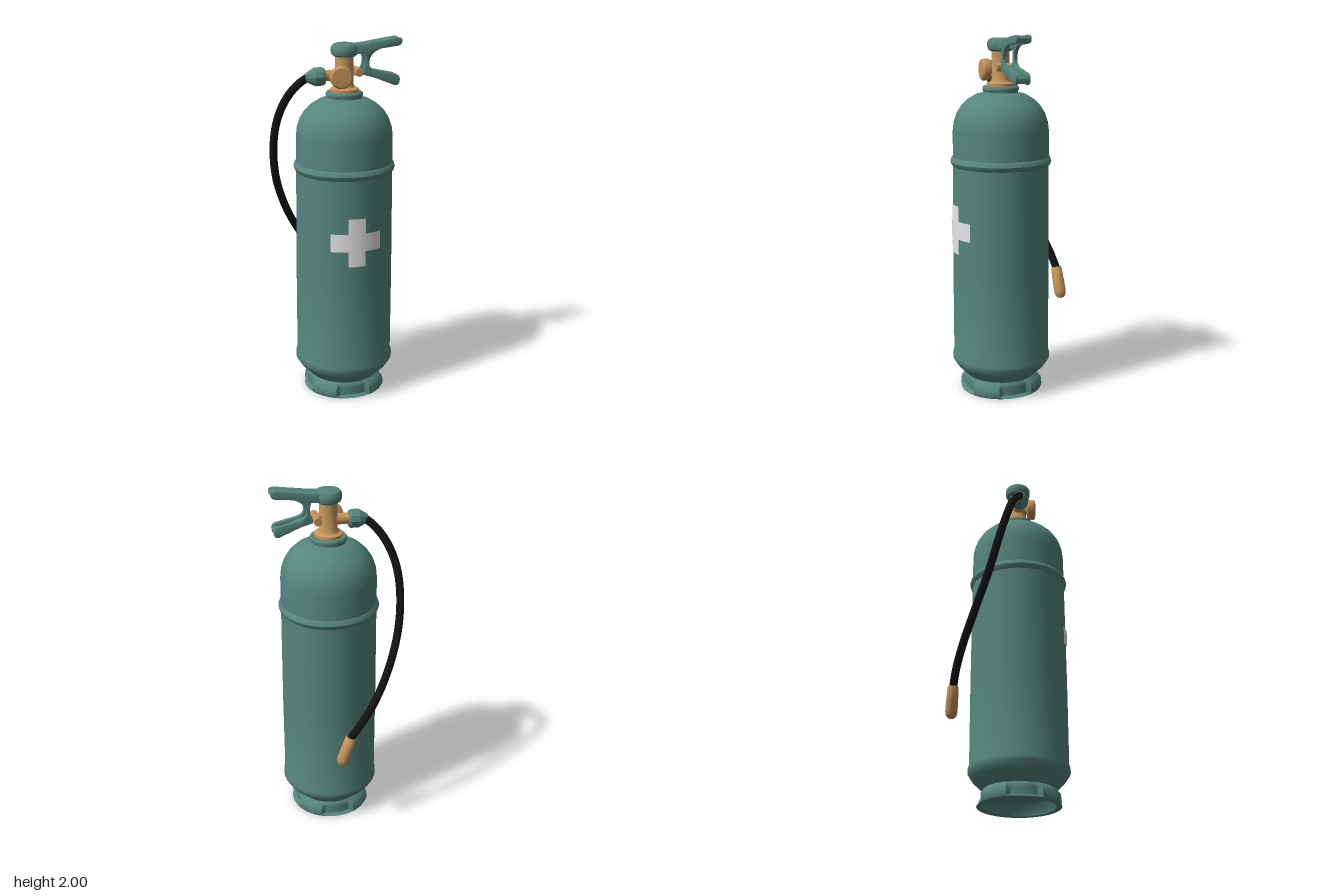
import * as THREE from 'three';
import { toCreasedNormals, mergeGeometries } from 'three/addons/utils/BufferGeometryUtils.js';

const CX = 0.034, CZ = 0.06; // axis of the cylinder

export function createModel() {
  const root = new THREE.Group();
  root.name = 'fireExtinguisher';
  const mat = (name, color) => new THREE.MeshStandardMaterial({ name, color });
  const green = mat('green paint', 0x55857c);
  const brass = mat('brass', 0xc4945a);
  const black = mat('black rubber', 0x121212);
  const white = mat('white', 0xf0f0f0);

  const add = (name, geo, material, x = 0, y = 0, z = 0, parent = root) => {
    const m = new THREE.Mesh(geo, material);
    m.name = name;
    m.position.set(x, y, z);
    parent.add(m);
    return m;
  };
  const lathe = (pts, seg = 40) => new THREE.LatheGeometry(pts.map(p => new THREE.Vector2(p[0], p[1])), seg);
  const crease = (geo, a = 0.6) => toCreasedNormals(geo, a);
  const UP = new THREE.Vector3(0, 1, 0);
  // turns a part built along +y so that it points along dir
  const aim = (mesh, x, y, z) => mesh.quaternion.setFromUnitVectors(UP, new THREE.Vector3(x, y, z).normalize());

  // Tank with rolled seam, dome and collar
  add('tank', crease(lathe([
    [0, 0.06], [0.17, 0.06], [0.195, 0.085], [0.21, 0.1], [0.25, 0.14], [0.275, 0.178],
    [0.275, 0.2], [0.268, 0.225], [0.268, 0.7], [0.264, 1.285], [0.273, 1.295], [0.278, 1.31],
    [0.273, 1.327], [0.264, 1.337], [0.263, 1.48], [0.258, 1.525], [0.243, 1.57], [0.218, 1.61],
    [0.18, 1.647], [0.135, 1.674], [0.095, 1.684], [0.095, 1.692], [0.1, 1.697], [0.1, 1.71],
    [0.094, 1.718], [0, 1.718],
  ])), green, CX, 0, CZ);

  // Flared foot ring with four recesses
  const foot = lathe([
    [0.15, 0.075], [0.185, 0.04], [0.195, 0], [0.226, 0], [0.232, 0.012],
    [0.228, 0.05], [0.215, 0.068], [0.19, 0.09],
  ], 72);
  const p = foot.attributes.position;
  for (let i = 0; i < p.count; i++) {
    const x = p.getX(i), z = p.getZ(i), r = Math.hypot(x, z), y = p.getY(i);
    const a = Math.atan2(z, x), off = Math.abs(a - Math.round(a / (Math.PI / 2)) * Math.PI / 2);
    if (off < 0.42 && r > 0.205 && y > 0.005) {
      const k = 0.205 / r;
      p.setX(i, x * k);
      p.setZ(i, z * k);
    }
  }
  add('footRing', crease(foot), green, CX, 0, CZ);

  // Cross emblem wrapped round the tank front
  const patch = (h, from, to) => new THREE.CylinderGeometry(0.274, 0.274, h, 10, 1, true, from, to - from);
  const cross = mergeGeometries([patch(0.27, -0.176, 0.176), patch(0.1, -0.53, -0.176), patch(0.1, 0.176, 0.53)]);
  add('crossEmblem', cross, white, CX, 0.945, CZ);

  // Valve post
  add('valvePost', crease(lathe([
    [0, 1.715], [0.078, 1.715], [0.078, 1.733], [0.058, 1.742], [0.049, 1.76], [0.049, 1.92], [0, 1.92],
  ], 24)), brass, CX, 0, CZ);

  // Pressure gauge, facing forward
  const gauge = add('pressureGauge', crease(lathe([
    [0, -0.07], [0.025, -0.07], [0.03, -0.02], [0.056, -0.015], [0.06, -0.008], [0.06, 0.022],
    [0.052, 0.031], [0, 0.034],
  ], 24)), brass, -0.003, 1.805, 0.128);
  aim(gauge, -0.12, 0, 1);

  // Hinge pin of the levers
  const pin = add('hingePin', crease(new THREE.CylinderGeometry(0.022, 0.022, 0.125, 16)), brass, 0.103, 1.822, 0.053);
  pin.rotation.x = Math.PI / 2;
  const bracket = add('hingeBracket', new THREE.BoxGeometry(0.06, 0.036, 0.05), brass, 0.085, 1.822, CZ);
  bracket.rotation.z = 0.1;

  // Hose outlet and coupling
  const outlet = add('hoseOutlet', crease(new THREE.CylinderGeometry(0.03, 0.03, 0.11, 16)), brass, -0.035, 1.805, 0.058);
  outlet.rotation.z = Math.PI / 2;
  const coupling = add('hoseCoupling', crease(lathe([
    [0, 0], [0.042, 0], [0.05, 0.012], [0.05, 0.055], [0.026, 0.098], [0.022, 0.105], [0, 0.105],
  ], 10), 0.45), green, -0.074, 1.803, 0.056);
  aim(coupling, -1, -0.06, -0.03);

  // Hose and nozzle
  const path = new THREE.CatmullRomCurve3([
    [-0.165, 1.797, 0.048], [-0.205, 1.765, 0.026], [-0.262, 1.69, -0.01], [-0.31, 1.57, -0.048],
    [-0.328, 1.42, -0.09], [-0.31, 1.22, -0.142], [-0.245, 1.02, -0.207], [-0.15, 0.84, -0.266],
    [-0.07, 0.73, -0.294], [0.0, 0.64, -0.306],
  ].map(v => new THREE.Vector3(...v)));
  add('hose', new THREE.TubeGeometry(path, 64, 0.022, 14), black);
  const nozzle = add('nozzle', crease(lathe([
    [0, 0], [0.026, 0], [0.031, 0.01], [0.033, 0.08], [0.034, 0.14], [0.03, 0.163], [0.018, 0.178], [0, 0.182],
  ], 18)), brass, -0.008, 0.652, -0.305);
  aim(nozzle, 0.06, -0.17, -0.005);

  // Cap on the valve
  const lever = new THREE.Group();
  lever.name = 'leverAssembly';
  root.add(lever);
  add('leverCap', crease(lathe([
    [0, 1.905], [0.055, 1.905], [0.068, 1.914], [0.073, 1.93], [0.073, 1.952], [0.064, 1.968], [0.045, 1.975], [0, 1.976],
  ], 28)), green, CX, 0, CZ, lever);

  const extrude = (shape, depth, bevel) => {
    const g = new THREE.ExtrudeGeometry(shape, {
      depth: depth - 2 * bevel, bevelThickness: bevel, bevelSize: bevel, bevelOffset: -bevel,
      bevelSegments: 2, curveSegments: 8,
    });
    return crease(g.translate(0, 0, bevel - depth / 2));
  };
  // Side cheeks: upper grip, curved web and lower grip in one outline
  const cheek = new THREE.Shape();
  cheek.moveTo(0.05, 1.966);
  cheek.lineTo(0.14, 1.973);
  cheek.lineTo(0.3, 1.997);
  cheek.quadraticCurveTo(0.345, 2.005, 0.345, 1.982);
  cheek.quadraticCurveTo(0.345, 1.955, 0.315, 1.954);
  cheek.lineTo(0.225, 1.943);
  cheek.quadraticCurveTo(0.16, 1.92, 0.162, 1.865);
  cheek.quadraticCurveTo(0.163, 1.838, 0.2, 1.828);
  cheek.lineTo(0.315, 1.803);
  cheek.quadraticCurveTo(0.335, 1.797, 0.334, 1.77);
  cheek.quadraticCurveTo(0.332, 1.738, 0.305, 1.744);
  cheek.lineTo(0.19, 1.79);
  cheek.lineTo(0.125, 1.808);
  cheek.lineTo(0.126, 1.835);
  cheek.quadraticCurveTo(0.15, 1.87, 0.132, 1.92);
  cheek.lineTo(0.05, 1.914);
  for (const s of [-1, 1])
    add(s > 0 ? 'frontLeverCheek' : 'backLeverCheek', extrude(cheek, 0.022, 0.006), green, 0, 0, 0.058 + s * 0.032, lever);

  // Plates joining the cheeks
  const upper = new THREE.Shape([
    [0.05, 1.964], [0.14, 1.971], [0.3, 1.995], [0.335, 1.996], [0.344, 1.982], [0.33, 1.958], [0.3, 1.966], [0.14, 1.942], [0.05, 1.936],
  ].map(v => new THREE.Vector2(...v)));
  add('upperGrip', extrude(upper, 0.08, 0.002), green, 0, 0, 0.058, lever);
  const lower = new THREE.Shape([
    [0.13, 1.812], [0.19, 1.794], [0.305, 1.748], [0.327, 1.75], [0.333, 1.775], [0.318, 1.798], [0.3, 1.779], [0.19, 1.817], [0.13, 1.832],
  ].map(v => new THREE.Vector2(...v)));
  add('lowerGrip', extrude(lower, 0.08, 0.002), green, 0, 0, 0.058, lever);

  return root;
}
